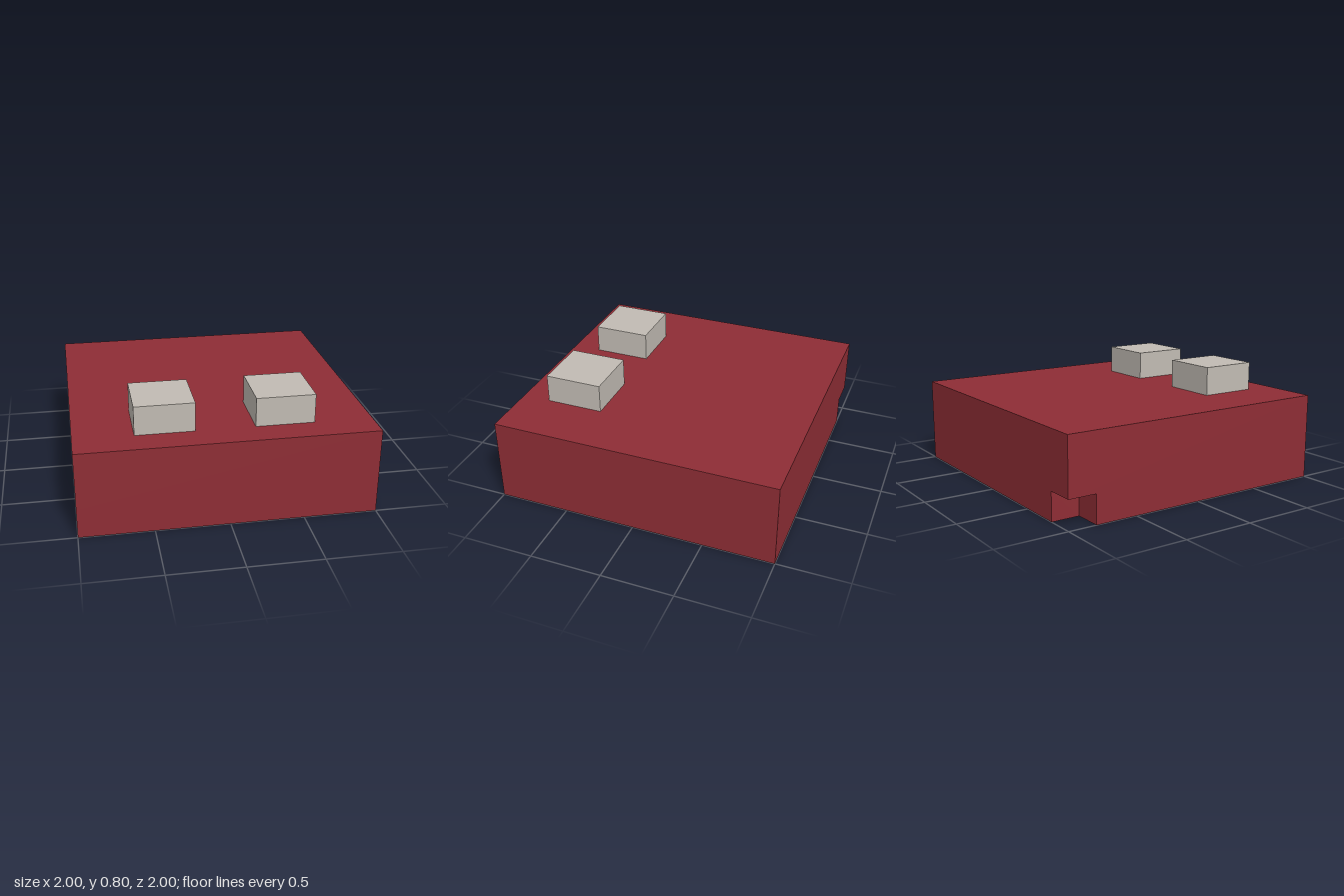
import * as THREE from 'three';

export function createModel() {
  const model = new THREE.Group();
  model.name = 'studdedBlock';
  const red = new THREE.MeshStandardMaterial({ name: 'deepRed', color: 0x8e2d35 });
  const grey = new THREE.MeshStandardMaterial({ name: 'warmGrey', color: 0xc1bbb3 });

  const add = (name, geometry, material, x, y, z) => {
    const mesh = new THREE.Mesh(geometry, material);
    mesh.name = name;
    mesh.position.set(x, y, z);
    model.add(mesh);
  };

  // Lower layer: square with a notch cut from the back corner at -x (shape y is -z)
  const notch = 0.2;
  const outline = new THREE.Shape([
    [-1, -1], [1, -1], [1, 1], [-1 + notch, 1], [-1 + notch, 1 - notch], [-1, 1 - notch],
  ].map(([x, y]) => new THREE.Vector2(x, y)));
  const base = new THREE.ExtrudeGeometry(outline, { depth: notch, bevelEnabled: false });
  base.rotateX(-Math.PI / 2);
  add('notchedBase', base, red, 0, 0, 0);

  // Upper layer: full slab that also roofs the notch
  add('upperSlab', new THREE.BoxGeometry(2, 0.4, 2), red, 0, 0.4, 0);

  // Pair of raised blocks near the front edge
  for (const side of [-1, 1]) {
    add(side > 0 ? 'leftBlock' : 'rightBlock',
      new THREE.BoxGeometry(0.4, 0.2, 0.4), grey, side * 0.4, 0.7, 0.6);
  }
  return model;
}
